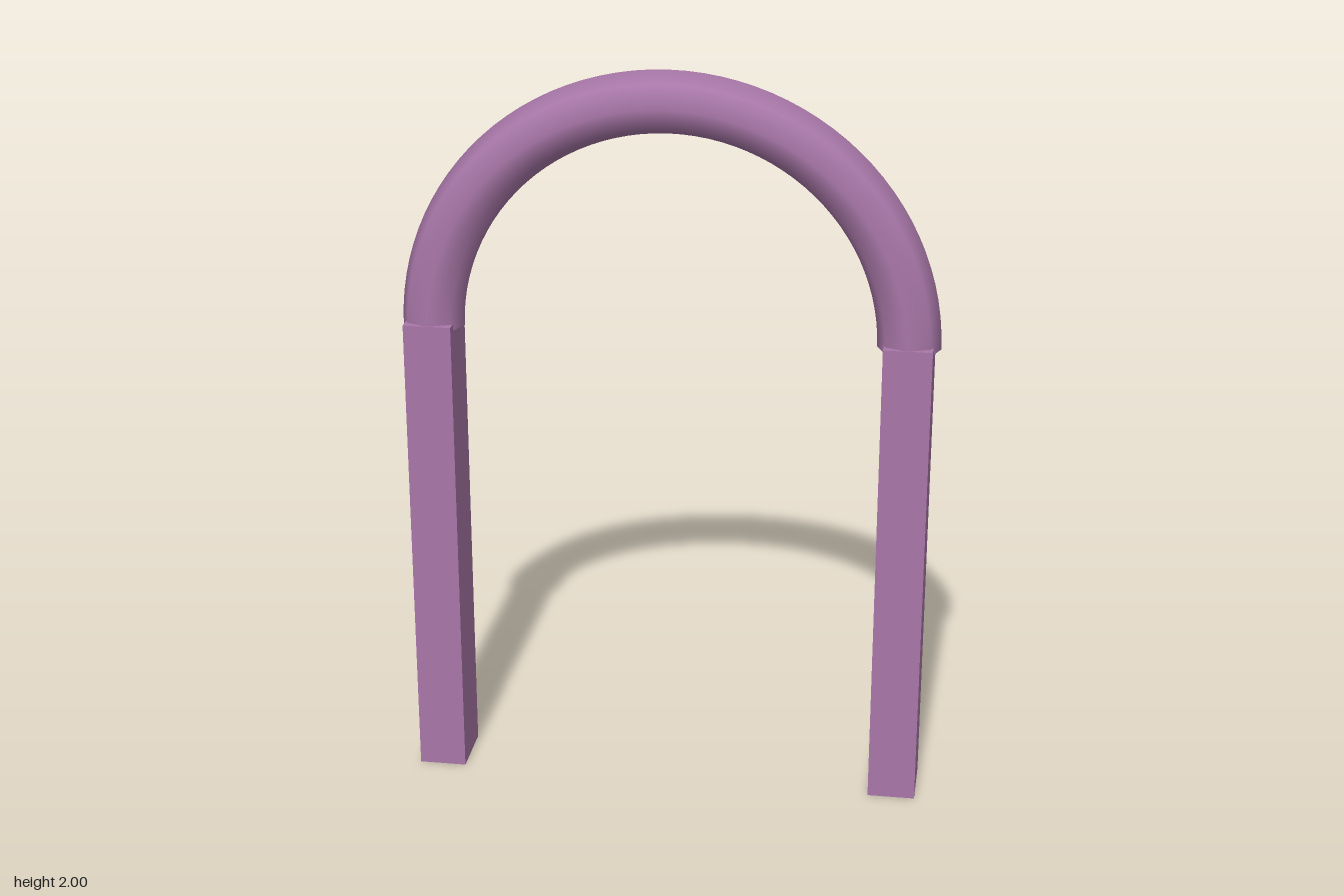
import * as THREE from 'three';

export function createModel() {
  const group = new THREE.Group();
  group.name = 'archway';
  const material = new THREE.MeshStandardMaterial({ color: 0xa877a8, side: THREE.DoubleSide });

  const tube = 0.083;      // thickness radius of the arch
  const radius = 0.63;     // arch centre line
  const springY = 1.29;    // height where the arch starts
  const postHeight = 1.31; // posts overlap the arch ends a little

  // Half-ring arch with an eight-sided tube
  const arch = new THREE.Mesh(new THREE.TorusGeometry(radius, tube, 8, 50, Math.PI), material);
  arch.name = 'arch';
  arch.position.y = springY;
  group.add(arch);

  // Two square-cut posts
  const postGeometry = new THREE.BoxGeometry(0.128, postHeight, tube * 2);
  for (const [name, side] of [['leftPost', 1], ['rightPost', -1]]) {
    const post = new THREE.Mesh(postGeometry, material);
    post.name = name;
    post.position.set(side * 0.631, postHeight / 2, 0);
    group.add(post);
  }

  return group;
}
